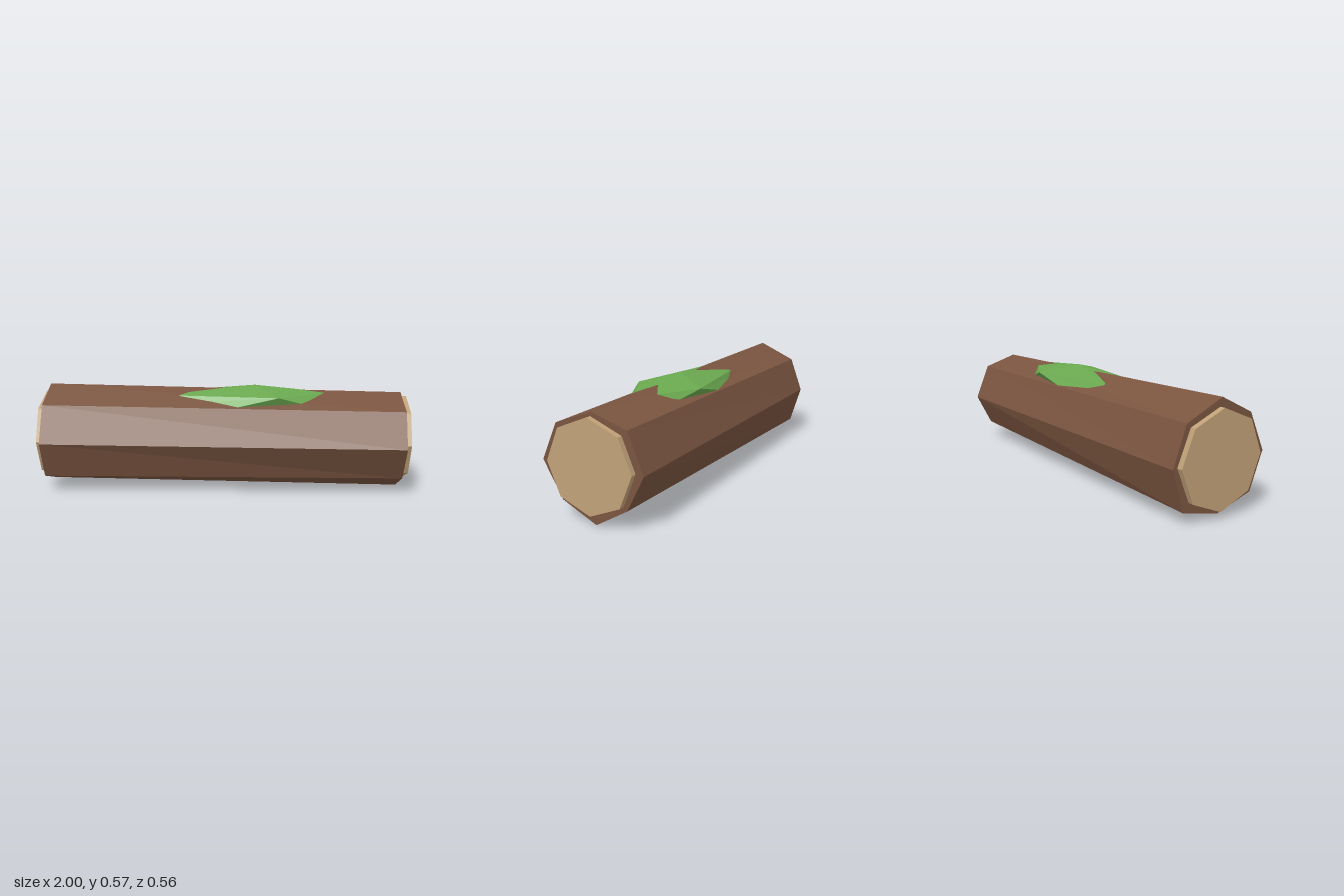
import * as THREE from 'three';

// Flat-shaded geometry from a list of corner triples
function facets(triangles) {
  const g = new THREE.BufferGeometry();
  g.setAttribute('position', new THREE.Float32BufferAttribute(triangles.flat(2), 3));
  g.computeVertexNormals();
  return g;
}

function material(name, color, extra = {}) {
  const m = new THREE.MeshStandardMaterial({ color, flatShading: true, ...extra });
  m.name = name;
  return m;
}

function add(group, name, geometry, mat) {
  const mesh = new THREE.Mesh(geometry, mat);
  mesh.name = name;
  group.add(mesh);
  return mesh;
}

// Irregular eight-sided log lofted between two end rings of [y, z]
function barkGeometry() {
  const ring = (x, pts) => pts.map(([y, z]) => [x, y, z]);
  const L = ring(-0.97, [[0.566, 0.005], [0.475, 0.19], [0.279, 0.28], [0.086, 0.205],
    [0.02, 0], [0.066, -0.21], [0.276, -0.275], [0.472, -0.203]]);
  const R = ring(0.97, [[0.531, -0.012], [0.456, 0.187], [0.271, 0.27], [0.09, 0.165],
    [0, -0.02], [0.1, -0.19], [0.275, -0.28], [0.47, -0.2]]);
  const cL = [-0.97, 0.28, 0], cR = [0.97, 0.275, -0.005];
  const tris = [];
  for (let i = 0; i < 8; i++) {
    const j = (i + 1) % 8;
    tris.push([L[i], L[j], R[j]], [L[i], R[j], R[i]], [cR, R[i], R[j]], [cL, L[j], L[i]]);
  }
  return facets(tris);
}

// Half of the moss patch: upper rim fanned from the peak, lower rim fanned from the shoulder
function mossGeometry(upper, lower, flip) {
  const peak = [0.17, 0.567, -0.005];
  const rim = [[0.016, 0.55, -0.013], ...upper, [0.41, 0.543, -0.013]];
  const [, tipL, shoulder, tipR] = upper;
  const skirt = [tipL, ...lower, tipR];
  const tris = [];
  const fan = (c, pts) => {
    for (let i = 0; i < pts.length - 1; i++)
      tris.push(flip ? [c, pts[i + 1], pts[i]] : [c, pts[i], pts[i + 1]]);
  };
  fan(peak, rim);
  fan(shoulder, skirt);
  return facets(tris);
}

export function createModel() {
  const model = new THREE.Group();
  model.name = 'log';
  const bark = material('bark brown', 0x7a5540);
  const wood = material('cut wood', 0xc0a178);
  const green = material('moss green', 0x6aa84f, { side: THREE.DoubleSide });

  add(model, 'bark', barkGeometry(), bark);

  // Slightly tapered core showing at both cut ends
  const core = add(model, 'woodCore', new THREE.CylinderGeometry(0.23, 0.243, 2, 8), wood);
  core.rotation.z = -Math.PI / 2;
  core.position.set(0, 0.28, -0.008);

  add(model, 'frontMoss', mossGeometry(
    [[-0.19, 0.532, 0.055], [-0.24, 0.518, 0.09], [0.3, 0.521, 0.172], [0.55, 0.53, 0.027]],
    [[-0.14, 0.487, 0.125], [0.08, 0.47, 0.176], [0.43, 0.484, 0.135]], false), green);
  add(model, 'backMoss', mossGeometry(
    [[-0.2, 0.525, -0.09], [-0.23, 0.518, -0.112], [0.3, 0.521, -0.197], [0.52, 0.523, -0.075]],
    [[-0.13, 0.49, -0.145], [0.1, 0.475, -0.196], [0.44, 0.484, -0.148]], true), green);
  return model;
}
